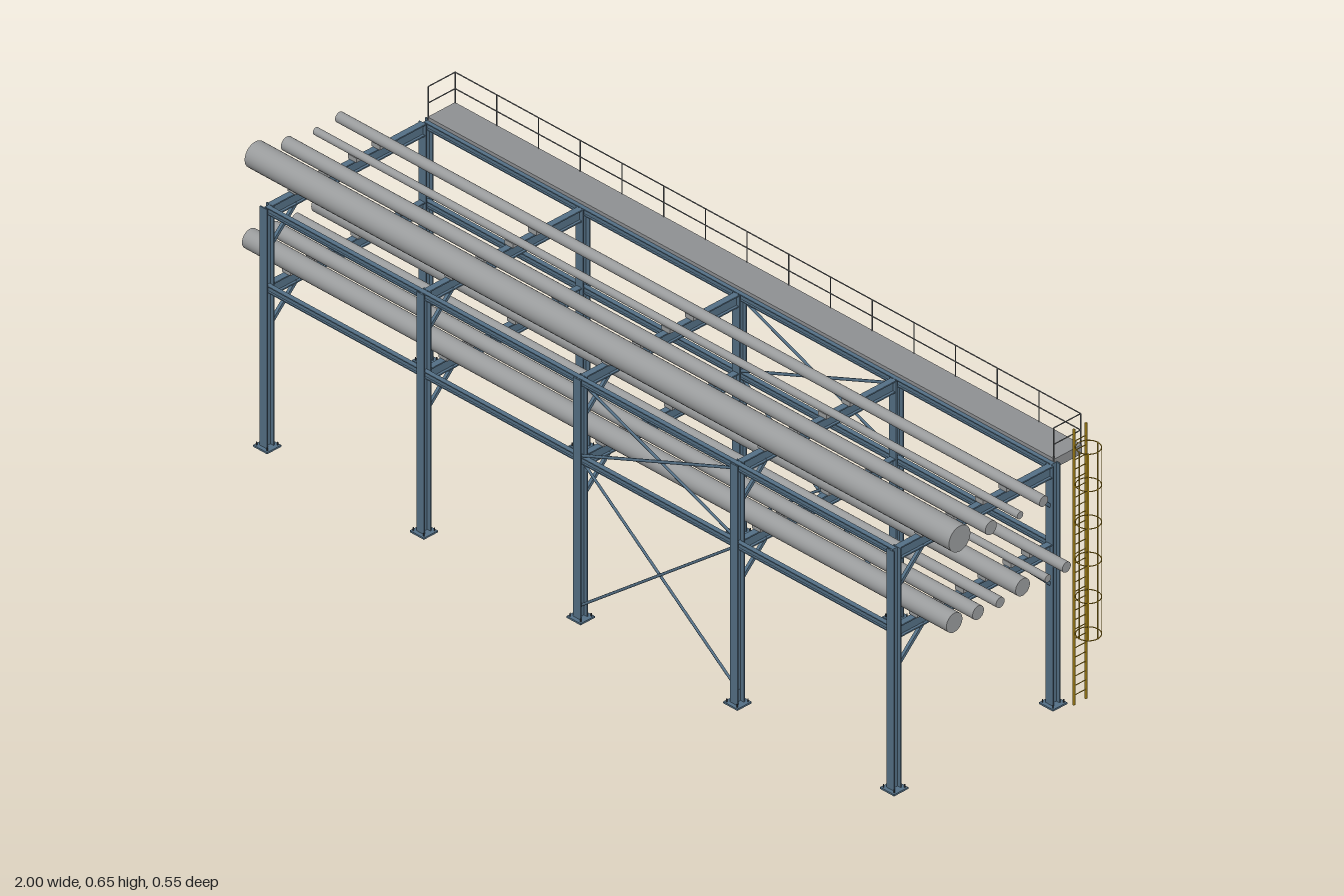
import * as THREE from 'three';

const mat = (name, color) => Object.assign(new THREE.MeshStandardMaterial({ color }), { name });

export function createModel() {
  const root = new THREE.Group();
  root.name = 'pipeRack';
  const steel = mat('blueSteel', 0x557187);
  const pipeGrey = mat('pipeGrey', 0x9c9e9f);
  const gratingGrey = mat('gratingGrey', 0x909294);
  const railGrey = mat('railGrey', 0x707375);
  const yellow = mat('safetyYellow', 0xc29a1e);
  const boltDark = mat('boltDark', 0x3c4248);

  const group = (name) => {
    const g = new THREE.Group();
    g.name = name;
    root.add(g);
    return g;
  };
  const add = (parent, name, geo, material, x = 0, y = 0, z = 0) => {
    const m = new THREE.Mesh(geo, material);
    m.name = name;
    m.position.set(x, y, z);
    parent.add(m);
    return m;
  };
  const box = (parent, name, material, sx, sy, sz, x, y, z) =>
    add(parent, name, new THREE.BoxGeometry(sx, sy, sz), material, x, y, z);

  // Straight bar between two points, round or square
  const bar = (parent, name, material, a, b, r, sides = 6) => {
    const p = new THREE.Vector3(...a), q = new THREE.Vector3(...b);
    const d = q.clone().sub(p);
    const geo = new THREE.CylinderGeometry(r, r, d.length(), sides);
    if (sides === 4) geo.rotateY(Math.PI / 4);
    const m = add(parent, name, sides === 4 ? geo.toNonIndexed() : geo, material);
    if (sides === 4) m.geometry.computeVertexNormals();
    m.position.copy(p.add(q).multiplyScalar(0.5));
    m.quaternion.setFromUnitVectors(new THREE.Vector3(0, 1, 0), d.normalize());
    return m;
  };

  // I-section running along z, centred on the origin
  const iSection = (w, h, tw, tf, length) => {
    const a = w / 2, b = h / 2, c = tw / 2, d = b - tf;
    const pts = [[-a, -b], [a, -b], [a, -d], [c, -d], [c, d], [a, d],
      [a, b], [-a, b], [-a, d], [-c, d], [-c, -d], [-a, -d]];
    const shape = new THREE.Shape(pts.map(([x, y]) => new THREE.Vector2(x, y)));
    return new THREE.ExtrudeGeometry(shape, { depth: length, bevelEnabled: false })
      .translate(0, 0, -length / 2);
  };

  const bay = 0.445, zFront = 0.2553, zBack = -0.191, top = 0.571, low = 0.386;
  const frames = [-2, -1, 0, 1, 2].map((i) => i * bay);
  const levels = [top, low];

  // Columns with base plates and anchor bolts
  const columns = group('columns');
  const columnGeo = iSection(0.021, 0.0214, 0.003, 0.003, top - 0.004).rotateX(-Math.PI / 2);
  const boltGeo = new THREE.CylinderGeometry(0.0014, 0.0014, 0.01, 6);
  for (const x of frames) for (const z of [zFront, zBack]) {
    add(columns, 'column', columnGeo, steel, x, 0.004 + (top - 0.004) / 2, z);
    box(columns, 'basePlate', steel, 0.04, 0.004, 0.04, x, 0.002, z);
    for (const sx of [-1, 1]) for (const sz of [-1, 1])
      add(columns, 'anchorBolt', boltGeo, boltDark, x + sx * 0.015, 0.006, z + sz * 0.015);
  }

  // Cross beams and knee braces
  const beams = group('crossBeams');
  const zMid = (zFront + zBack) / 2, span = zFront - zBack - 0.0214;
  const beamGeo = iSection(0.015, 0.0285, 0.003, 0.003, span);
  for (const x of frames) for (const y of levels) {
    add(beams, 'crossBeam', beamGeo, steel, x, y - 0.01425, zMid);
    for (const s of [-1, 1])
      bar(beams, 'kneeBrace', steel, [x, y - 0.095, zMid + s * span / 2],
        [x, y - 0.027, zMid + s * (span / 2 - 0.07)], 0.0052, 4);
  }

  // Longitudinal struts between columns
  const struts = group('longitudinalStruts');
  const strutGeo = iSection(0.011, 0.016, 0.0025, 0.0025, bay - 0.003).rotateY(Math.PI / 2);
  for (let i = 0; i < 4; i++) for (const y of levels) for (const z of [zFront, zBack])
    add(struts, 'strut', strutGeo, steel, frames[i] + bay / 2, y - 0.008, z);

  // Crossed bracing in one bay, on both sides
  const bracing = group('crossBracing');
  for (const z of [zFront, zBack])
    for (const [y0, y1] of [[0.03, low - 0.012], [low, top - 0.012]]) {
      bar(bracing, 'braceRod', steel, [0, y0, z + 0.002], [bay, y1, z + 0.002], 0.0033);
      bar(bracing, 'braceRod', steel, [0, y1, z - 0.002], [bay, y0, z - 0.002], 0.0033);
    }

  // Pipes resting on shoes: [z, radius]
  const pipes = group('pipes');
  const runs = [
    [top, [[0.18, 0.03], [0.092, 0.016], [0.01, 0.0085], [-0.056, 0.012]]],
    [low, [[0.195, 0.0225], [0.128, 0.016], [0.066, 0.012], [0.003, 0.02],
      [-0.068, 0.0085], [-0.12, 0.012]]],
  ];
  for (const [y, list] of runs) for (const [z, r] of list) {
    const geo = new THREE.CylinderGeometry(r, r, 2, 32).rotateZ(Math.PI / 2);
    add(pipes, 'pipe', geo, pipeGrey, 0, y + 0.0085 + r, z);
    for (const x of frames)
      box(pipes, 'pipeShoe', pipeGrey, 0.024, 0.0105, 0.014, x, y + 0.00525, z);
  }

  // Walkway grating with edge stringers and support brackets
  const walkway = group('walkway');
  const zIn = -0.195, zOut = -0.272, end = 0.89, deck = 0.579;
  box(walkway, 'grating', gratingGrey, 2 * end, 0.008, zIn - zOut, 0, deck - 0.004, (zIn + zOut) / 2);
  for (const z of [-0.2045, zOut + 0.0025])
    box(walkway, 'stringer', gratingGrey, 2 * end, 0.014, 0.005, 0, 0.564, z);
  for (const x of frames)
    box(walkway, 'bracket', gratingGrey, 0.008, 0.014, 0.066,
      x - Math.sign(x) * 0.004 * (Math.abs(x) > 0.8 ? 1 : 0), 0.564, -0.237);

  // Guard rail along the outer side and both ends
  const rail = group('guardRail');
  const railTop = 0.652, railMid = 0.613, r = 0.0013, segments = 15;
  const xe = end - 0.002, zo = zOut + 0.0015;
  for (let i = 0; i <= segments; i++) {
    const x = -xe + (2 * xe * i) / segments;
    bar(rail, 'railPost', railGrey, [x, deck - 0.006, zo], [x, railTop, zo], r);
  }
  for (const y of [railTop, railMid]) {
    bar(rail, 'sideRail', railGrey, [-xe, y, zo], [xe, y, zo], r);
    for (const s of [-1, 1])
      bar(rail, 'endRail', railGrey, [s * xe, y, zIn], [s * xe, y, zo], r);
  }
  for (const s of [-1, 1])
    bar(rail, 'endPost', railGrey, [s * xe, deck - 0.006, zIn], [s * xe, railTop, zIn], r);

  // Ladder
  const ladder = group('ladder');
  const lx = 0.9215, lz = -0.235, half = 0.0168;
  for (const s of [-1, 1])
    box(ladder, 'ladderRail', yellow, 0.004, 0.654, 0.004, lx, 0.327, lz + s * half);
  for (let i = 1; i <= 28; i++)
    bar(ladder, 'rung', yellow, [lx, i * 0.0223, lz - half], [lx, i * 0.0223, lz + half], 0.0011);

  // Safety cage: hoops and vertical straps
  const cage = group('ladderCage');
  const cx = 0.946, cr = 0.0262;
  const hoopGeo = new THREE.TorusGeometry(cr, 0.0011, 6, 28).rotateX(Math.PI / 2);
  for (let i = 0; i < 6; i++)
    add(cage, 'hoop', hoopGeo, yellow, cx, 0.172 + i * 0.0885, lz);
  for (let i = -2; i <= 2; i++) {
    const a = (i * Math.PI) / 4;
    const strap = box(cage, 'strap', yellow, 0.0014, 0.445, 0.003,
      cx + cr * Math.cos(a), 0.3935, lz - cr * Math.sin(a));
    strap.rotation.y = a;
  }
  return root;
}
